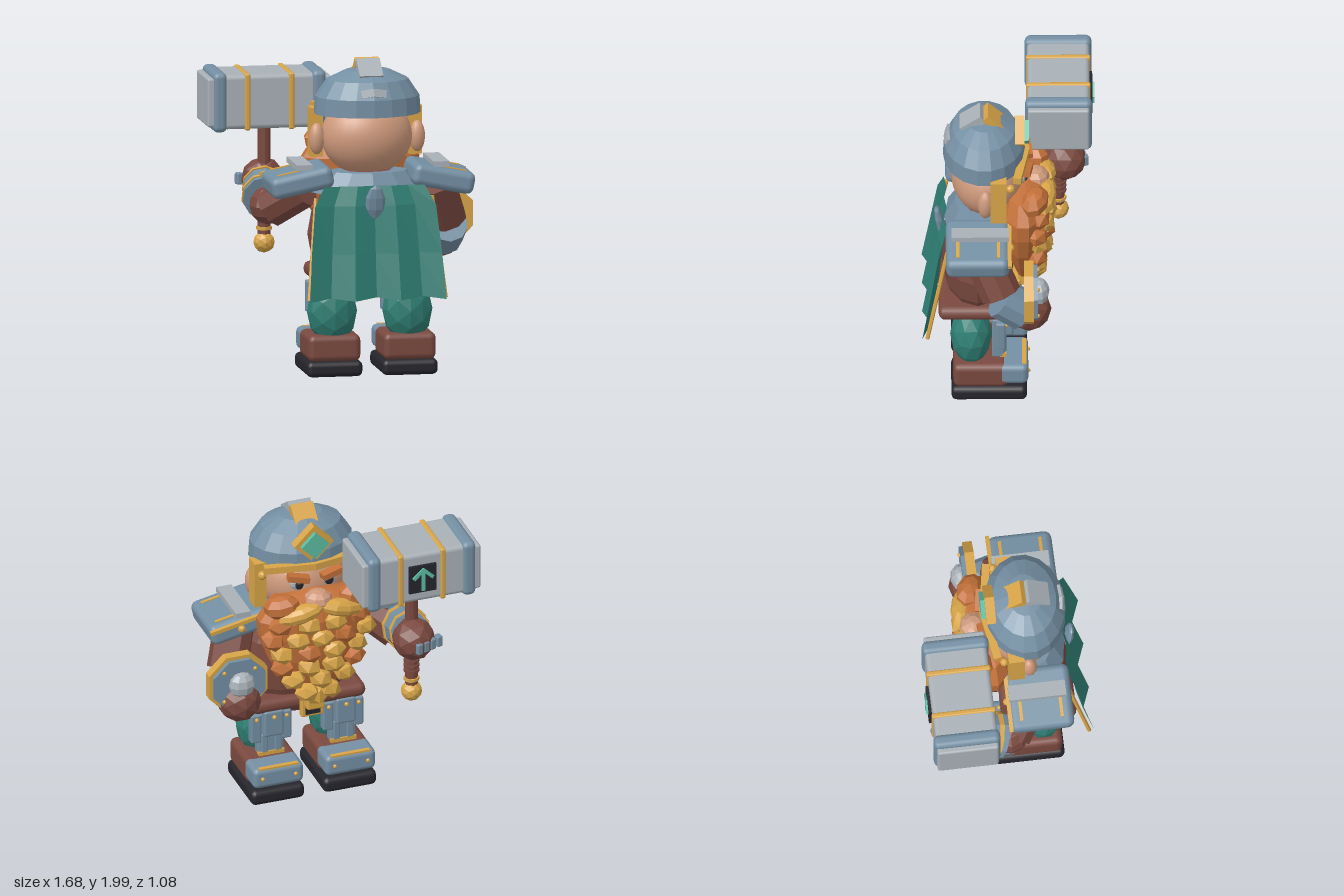
import * as THREE from 'three';
import { RoundedBoxGeometry } from 'three/addons/geometries/RoundedBoxGeometry.js';

const mat = (name, color) => {
  const m = new THREE.MeshStandardMaterial({ color });
  m.name = name;
  return m;
};
const M = {
  steel: mat('blue steel', 0x748fa3), grey: mat('pale iron', 0xa9b1b7), gold: mat('gold', 0xd8a548),
  orange: mat('orange hair', 0xc27039), brown: mat('brown leather', 0x7a493f), teal: mat('teal cloth', 0x2f7f74),
  skin: mat('skin', 0xcf9a7c), dark: mat('dark', 0x25252c), gem: mat('jade', 0x5cbba1),
};
M.teal.side = THREE.DoubleSide;
const CX = 0.12; // body axis

const flat = (g) => {
  const f = g.index ? g.toNonIndexed() : g;
  f.computeVertexNormals();
  return f;
};

export function createModel() {
  const root = new THREE.Group();
  root.name = 'dwarfWarrior';
  const add = (name, geo, m, p = [0, 0, 0], r = [0, 0, 0], parent = root) => {
    const mesh = new THREE.Mesh(geo, m);
    mesh.name = name;
    mesh.position.set(...p);
    mesh.rotation.set(...r);
    parent.add(mesh);
    return mesh;
  };
  const box = (name, m, p, s, r, parent) => add(name, new THREE.BoxGeometry(...s), m, p, r, parent);
  const round = (name, m, p, s, rad, r, parent) => add(name, new RoundedBoxGeometry(...s, 2, rad), m, p, r, parent);
  const blob = (name, m, p, s, seg = 10, r) =>
    add(name, flat(new THREE.SphereGeometry(1, seg, Math.max(5, seg * 0.7 | 0)).scale(...s)), m, p, r);
  const gemBlob = (name, m, p, s, detail = 1, r) => add(name, flat(new THREE.IcosahedronGeometry(1, detail).scale(...s)), m, p, r);
  const rivet = (p, r = 0.02) => add('rivet', flat(new THREE.SphereGeometry(r, 8, 6)), M.gold, p);
  const limb = (name, m, a, b, ra, rb, seg = 9) => {
    const A = new THREE.Vector3(...a), B = new THREE.Vector3(...b), d = B.clone().sub(A);
    const mesh = add(name, flat(new THREE.CylinderGeometry(rb, ra, d.length(), seg)), m);
    mesh.position.copy(A).add(B).multiplyScalar(0.5);
    mesh.quaternion.setFromUnitVectors(new THREE.Vector3(0, 1, 0), d.normalize());
    return mesh;
  };

  // Legs, boots and shin armour
  for (const s of [-1, 1]) {
    const x = CX + s * 0.24;
    gemBlob('trouserLeg', M.teal, [x, 0.41, 0.235], [0.16, 0.215, 0.132]);
    round('sole', M.dark, [x, 0.055, 0.122], [0.355, 0.1, 0.475], 0.035);
    round('boot', M.brown, [x, 0.185, 0.175], [0.335, 0.17, 0.345], 0.04);
    round('toeCap', M.steel, [x, 0.197, -0.025], [0.336, 0.14, 0.195], 0.035);
    box('toeTrim', M.gold, [x, 0.258, -0.098], [0.26, 0.022, 0.028]);
    for (const k of [-1, 1]) rivet([x + k * 0.11, 0.2, -0.122], 0.014);
    round('shinGuard', M.steel, [x, 0.43, 0.065], [0.17, 0.3, 0.08], 0.015);
    box('shinTrim', M.gold, [x, 0.3, 0.035], [0.17, 0.026, 0.04]);
    round('kneePlate', M.steel, [x, 0.53, 0], [0.13, 0.18, 0.06], 0.015);
    for (const k of [-1, 1]) {
      round('sidePlate', M.steel, [x + k * 0.1, 0.48, 0.05], [0.07, 0.2, 0.06], 0.012);
      round('shinRidge', M.steel, [x + k * 0.045, 0.37, 0.03], [0.045, 0.14, 0.03], 0.01);
      rivet([x + k * 0.1, 0.55, 0.015], 0.014);
    }
    rivet([x, 0.58, -0.035], 0.015);
  }

  // Torso and belt
  blob('torso', M.brown, [CX, 0.9, 0.195], [0.39, 0.42, 0.23], 12);
  round('belt', M.brown, [CX, 0.65, 0.205], [0.76, 0.095, 0.47], 0.045);
  round('buckle', M.gold, [CX, 0.63, -0.05], [0.15, 0.13, 0.05], 0.01);
  box('buckleInset', M.dark, [CX, 0.62, -0.078], [0.1, 0.07, 0.008]);

  // Collar and cape
  const collar = add('collar', flat(new THREE.CylinderGeometry(0.25, 0.37, 0.13, 12)), M.steel, [CX, 1.225, 0.19]);
  collar.scale.z = 0.58;
  blob('capeClasp', M.steel, [CX, 1.115, 0.43], [0.064, 0.12, 0.028], 8, [0.2, 0, 0]);
  const rows = [[1.22, 0.32, 0.395, 0.008], [1.1, 0.385, 0.428, 0.014], [0.8, 0.415, 0.47, 0.022], [0.52, 0.435, 0.515, 0.027]];
  const cols = 7, pos = [], idx = [];
  rows.forEach(([y, hw, z, amp], j) => {
    for (let i = 0; i < cols; i++) {
      const side = i % 2 ? -1 : 1;
      pos.push(CX + (i / (cols - 1) * 2 - 1) * hw, y - (j === 3 ? side * 0.008 : 0), z + side * amp);
      if (j && i) {
        const a = j * cols + i;
        idx.push(a - cols - 1, a - 1, a, a - cols - 1, a, a - cols);
      }
    }
  });
  const cape = new THREE.BufferGeometry();
  cape.setAttribute('position', new THREE.Float32BufferAttribute(pos, 3));
  cape.setIndex(idx);
  add('cape', flat(cape), M.teal);
  for (const s of [-1, 1])
    limb('capeEdging', M.gold, [CX + s * 0.435, 0.52, 0.51], [CX + s * 0.37, 1.15, 0.385], 0.013, 0.013, 6);

  // Shoulder guards
  for (const s of [-1, 1]) {
    const g = new THREE.Group();
    g.name = 'shoulderGuard';
    g.position.set(CX + s * 0.45, 1.245, 0.195);
    g.rotation.z = -s * 0.2;
    root.add(g);
    round('guardPlate', M.steel, [0, 0, 0], [0.4, 0.14, 0.4], 0.045, [0, 0, 0], g);
    for (const z of [-0.13, 0.125]) box('guardInlay', M.gold, [s * 0.07, 0.07, z], [0.14, 0.012, 0.02], [0, 0, 0], g);
    box('guardFrontTrim', M.gold, [0, 0.045, -0.2], [0.4, 0.025, 0.025], [0, 0, 0], g);
    box('guardStrap', M.grey, [CX + s * 0.435, 1.34, 0.18], [0.1, 0.035, 0.36]);
    rivet([CX + s * 0.45, 1.25, -0.012], 0.025);
  }

  // Head and face
  add('head', new THREE.SphereGeometry(1, 28, 20).scale(0.288, 0.25, 0.23), M.skin, [CX, 1.5, 0.13]);
  blob('nose', M.skin, [CX, 1.46, -0.17], [0.095, 0.07, 0.09], 9);
  for (const s of [-1, 1]) {
    add('ear', new THREE.SphereGeometry(1, 12, 10).scale(0.05, 0.1, 0.05), M.skin, [CX + s * 0.32, 1.49, 0.145]);
    blob('eyeWhite', M.grey, [CX + s * 0.105, 1.55, -0.08], [0.05, 0.045, 0.03], 10);
    blob('pupil', M.dark, [CX + s * 0.1, 1.55, -0.1], [0.03, 0.036, 0.024], 8);
    box('eyebrow', M.orange, [CX + s * 0.11, 1.605, -0.115], [0.14, 0.04, 0.06], [0, -s * 0.15, s * 0.2]);
    box('cheekGuard', M.gold, [CX + s * 0.315, 1.525, 0.063], [0.08, 0.31, 0.1]);
    rivet([CX + s * 0.315, 1.61, -0.012], 0.028);
    box('browBand', M.gold, [CX + s * 0.157, 1.672, -0.08], [0.325, 0.045, 0.05], [0, -s * 0.17, 0]);
  }

  // Helmet with crest and brow jewel
  const dome = [[0, 1.65], [0.337, 1.65], [0.33, 1.76], [0.26, 1.865], [0.14, 1.922], [0, 1.938]];
  const helm = add('helmet', flat(new THREE.LatheGeometry(dome.map((p) => new THREE.Vector2(...p)), 18)), M.steel, [CX, 0, 0.153]);
  helm.scale.z = 0.765;
  box('crestBack', M.grey, [CX, 1.925, 0.225], [0.15, 0.06, 0.16], [0.62, 0, 0]);
  box('crestFront', M.gold, [CX, 1.93, 0.095], [0.15, 0.05, 0.14], [-0.75, 0, 0]);
  for (const s of [-1, 1])
    box('neckPlate', M.grey, [CX + s * 0.038, 1.8, 0.378], [0.08, 0.05, 0.035], [-0.3, s * 0.15, -s * 0.12]);
  box('jewelFrame', M.gold, [CX, 1.82, -0.07], [0.185, 0.185, 0.06], [0, 0, Math.PI / 4]);
  box('jewel', M.gem, [CX, 1.82, -0.105], [0.13, 0.13, 0.045], [0, 0, Math.PI / 4]);

  // Beard: a tapered mass with large faceted curls on its front
  const outline = [[0, 0.7], [0.09, 0.74], [0.2, 0.88], [0.31, 1.05], [0.37, 1.22], [0.38, 1.34], [0.3, 1.46], [0, 1.52]];
  const beard = add('beard', flat(new THREE.LatheGeometry(outline.map((p) => new THREE.Vector2(...p)), 14)), M.orange, [CX, 0, -0.09]);
  beard.scale.z = 0.44;
  const curlRows = [[4, 0.26], [5, 0.31], [4, 0.25], [4, 0.24], [3, 0.17], [2, 0.08]];
  curlRows.forEach(([n, w], r) => {
    for (let i = 0; i < n; i++) {
      const u = i / (n - 1) * 2 - 1, z = -0.25 + u * u * w * 0.2 + r * r * 0.002;
      const golden = r > 3 || (i + r * 2) % 3 > 0;
      gemBlob('beardCurl', golden ? M.gold : M.orange, [CX + u * w, 1.33 - r * 0.103, z],
        [0.085, 0.066, 0.06], 0, [0.3, -u * 0.5, (i + r) % 3 * 0.25]);
    }
  });
  gemBlob('beardTip', M.gold, [CX, 0.775, -0.15], [0.085, 0.085, 0.07], 0);
  round('beardClasp', M.gold, [CX, 0.69, -0.1], [0.12, 0.09, 0.08], 0.015);
  for (const s of [-1, 1]) {
    blob('moustache', M.gold, [CX + s * 0.14, 1.41, -0.23], [0.15, 0.06, 0.068], 9, [0, -s * 0.15, -s * 0.25]);
    blob('moustacheEnd', M.orange, [CX + s * 0.24, 1.45, -0.165], [0.12, 0.08, 0.085], 8, [0, -s * 0.4, -s * 0.2]);
  }

  // Shield arm
  limb('upperArm', M.brown, [0.55, 1.2, 0.17], [0.645, 0.94, 0.05], 0.13, 0.13);
  limb('bracer', M.steel, [0.65, 0.915, 0.055], [0.645, 0.81, -0.095], 0.13, 0.13, 10);
  gemBlob('shieldHand', M.brown, [0.63, 0.815, -0.125], [0.142, 0.142, 0.142]);
  const shield = (name, m, r, h, z) =>
    add(name, flat(new THREE.CylinderGeometry(r, r, h, 8).rotateY(Math.PI / 8).rotateX(Math.PI / 2)), m, [0.645, 0.95, z]);
  shield('shieldRim', M.gold, 0.21, 0.06, -0.125);
  shield('shieldFace', M.steel, 0.185, 0.03, -0.165);
  blob('shieldBoss', M.grey, [0.635, 0.955, -0.19], [0.088, 0.088, 0.065], 9);
  for (let i = 0; i < 4; i++) {
    const a = Math.PI / 4 + i * Math.PI / 2;
    rivet([0.645 + Math.cos(a) * 0.145, 0.95 + Math.sin(a) * 0.145, -0.182], 0.014);
  }

  // Hammer arm
  limb('upperArm', M.brown, [-0.28, 1.18, 0.15], [-0.47, 1.04, 0], 0.125, 0.13);
  blob('elbow', M.brown, [-0.48, 1.05, -0.01], [0.12, 0.12, 0.12], 9);
  limb('forearm', M.brown, [-0.48, 1.05, -0.02], [-0.46, 1.16, -0.33], 0.115, 0.1);
  limb('bracer', M.steel, [-0.49, 1.09, -0.05], [-0.47, 1.15, -0.25], 0.145, 0.125, 10);
  limb('bracerTrim', M.gold, [-0.487, 1.1, -0.085], [-0.485, 1.108, -0.112], 0.15, 0.148, 10);
  limb('bracerTrim', M.gold, [-0.474, 1.14, -0.215], [-0.472, 1.147, -0.238], 0.136, 0.134, 10);
  gemBlob('hammerHand', M.brown, [-0.45, 1.165, -0.355], [0.138, 0.138, 0.138]);
  for (let i = 0; i < 4; i++)
    round('fingerPlate', M.steel, [-0.59 + i * 0.05, 1.16, -0.42 - i * 0.019], [0.042, 0.075, 0.05], 0.01, [0, 0.3, 0]);

  // Hammer
  const HX = -0.45, HY = 1.69, HZ = -0.315;
  const shaft = (name, m, y, r, h) => add(name, flat(new THREE.CylinderGeometry(r, r, h, 10)), m, [HX, y, HZ]);
  shaft('hammerShaft', M.brown, 1.18, 0.04, 0.72);
  for (let i = 0; i < 5; i++) shaft('gripRing', M.brown, 0.92 + i * 0.035, 0.05, 0.02);
  shaft('gripTrim', M.gold, 0.86, 0.05, 0.02);
  gemBlob('pommel', M.gold, [HX, 0.77, HZ], [0.068, 0.068, 0.068]);
  round('hammerBlock', M.grey, [HX, HY, HZ], [0.6, 0.345, 0.39], 0.03);
  for (const s of [-1, 1]) {
    round('hammerCollar', M.steel, [HX + s * 0.315, HY, HZ], [0.09, 0.38, 0.42], 0.035);
    round('hammerFace', M.grey, [HX + s * 0.355, HY, HZ], [0.08, 0.31, 0.385], 0.015);
    round('hammerBand', M.gold, [HX + s * 0.14, HY, HZ], [0.035, 0.36, 0.405], 0.012);
    box('arrowBarb', M.gem, [HX + s * 0.03, HY + 0.04, -0.533], [0.095, 0.022, 0.016], [0, 0, -s * 0.75]);
  }
  box('arrowStem', M.gem, [HX, HY - 0.005, -0.533], [0.024, 0.15, 0.016]);
  box('inlayPlate', M.dark, [HX, HY, -0.517], [0.18, 0.19, 0.022]);

  return root;
}
